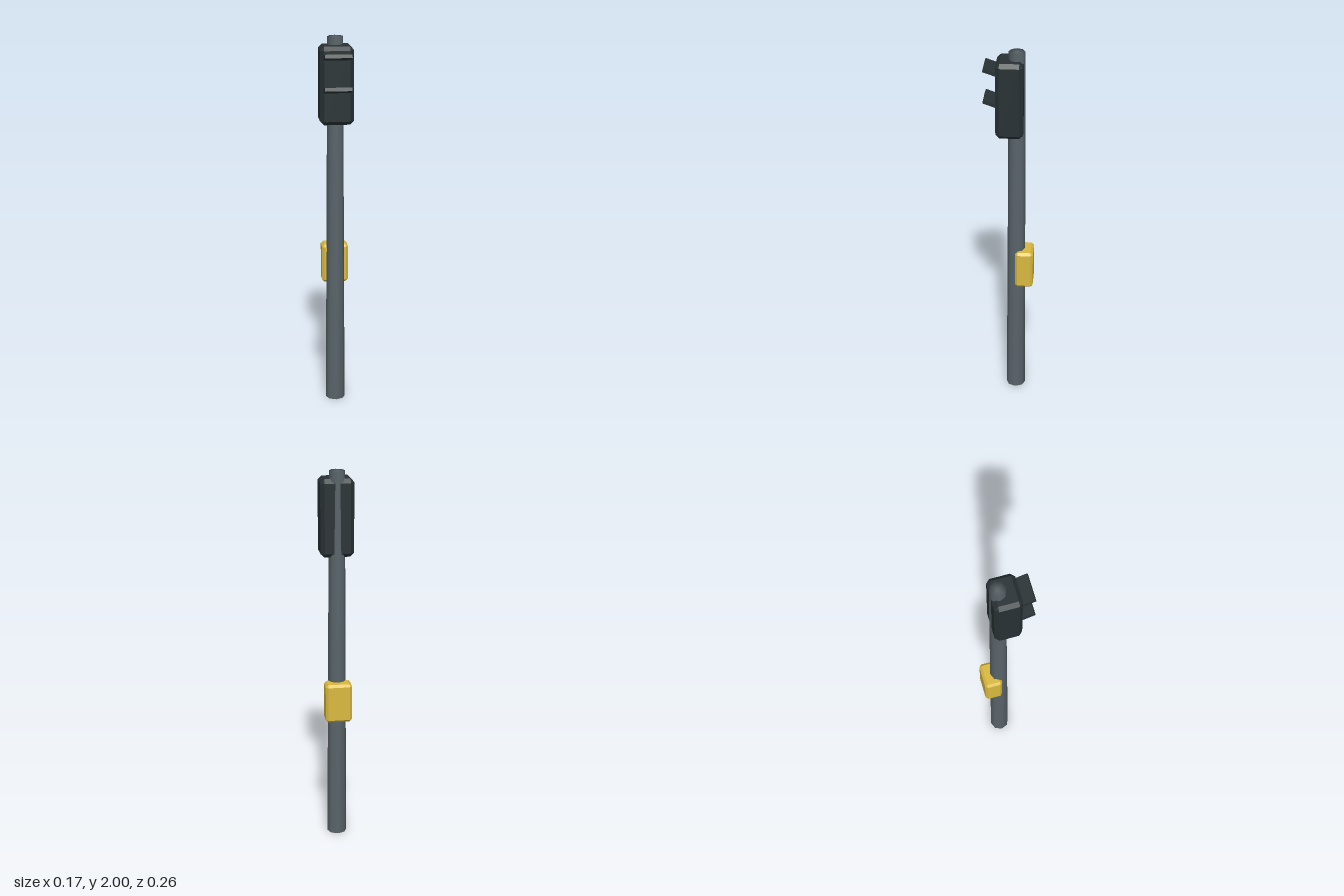
import * as THREE from 'three';
import { mergeVertices } from 'three/addons/utils/BufferGeometryUtils.js';
import { ConvexGeometry } from 'three/addons/geometries/ConvexGeometry.js';

const material = (color) => new THREE.MeshStandardMaterial({ color });

// Box with every edge bevelled by c: three corner points per corner
function bevelledBox(w, h, d, c) {
  const points = [];
  for (const sx of [-1, 1]) for (const sy of [-1, 1]) for (const sz of [-1, 1]) {
    for (let full = 0; full < 3; full++) {
      const inset = [c, c, c];
      inset[full] = 0;
      points.push(new THREE.Vector3(
        sx * (w / 2 - inset[0]), sy * (h / 2 - inset[1]), sz * (d / 2 - inset[2])));
    }
  }
  return new ConvexGeometry(points);
}

export function createModel() {
  const model = new THREE.Group();
  model.name = 'pedestrianSignal';
  const dark = material(0x283134);
  const steel = material(0x596469);
  const yellow = material(0xd9b83e);

  const add = (name, geometry, mat, x, y, z) => {
    const mesh = new THREE.Mesh(geometry, mat);
    mesh.name = name;
    mesh.position.set(x, y, z);
    model.add(mesh);
    return mesh;
  };

  // Tapered eight-sided pole, shaded smoothly across sides and caps
  let poleShape = new THREE.CylinderGeometry(0.041, 0.052, 2, 8);
  poleShape.deleteAttribute('normal');
  poleShape.deleteAttribute('uv');
  poleShape = mergeVertices(poleShape);
  poleShape.computeVertexNormals();
  add('pole', poleShape, steel, 0, 1, -0.039);

  // Signal housing at the top
  add('signalHousing', bevelledBox(0.174, 0.405, 0.14, 0.02), dark, 0, 1.757, -0.005);

  // Visors tilting up and out from the front of the housing
  for (const [name, y] of [['upperVisor', 1.91], ['lowerVisor', 1.742]]) {
    const visor = add(name, new THREE.BoxGeometry(0.14, 0.019, 0.08), dark, 0, y, 0.088);
    visor.rotation.x = -0.33;
  }

  // Push-button box on the back of the pole
  add('buttonBox', bevelledBox(0.14, 0.21, 0.095, 0.013), yellow, 0, 0.775, -0.083);

  return model;
}
